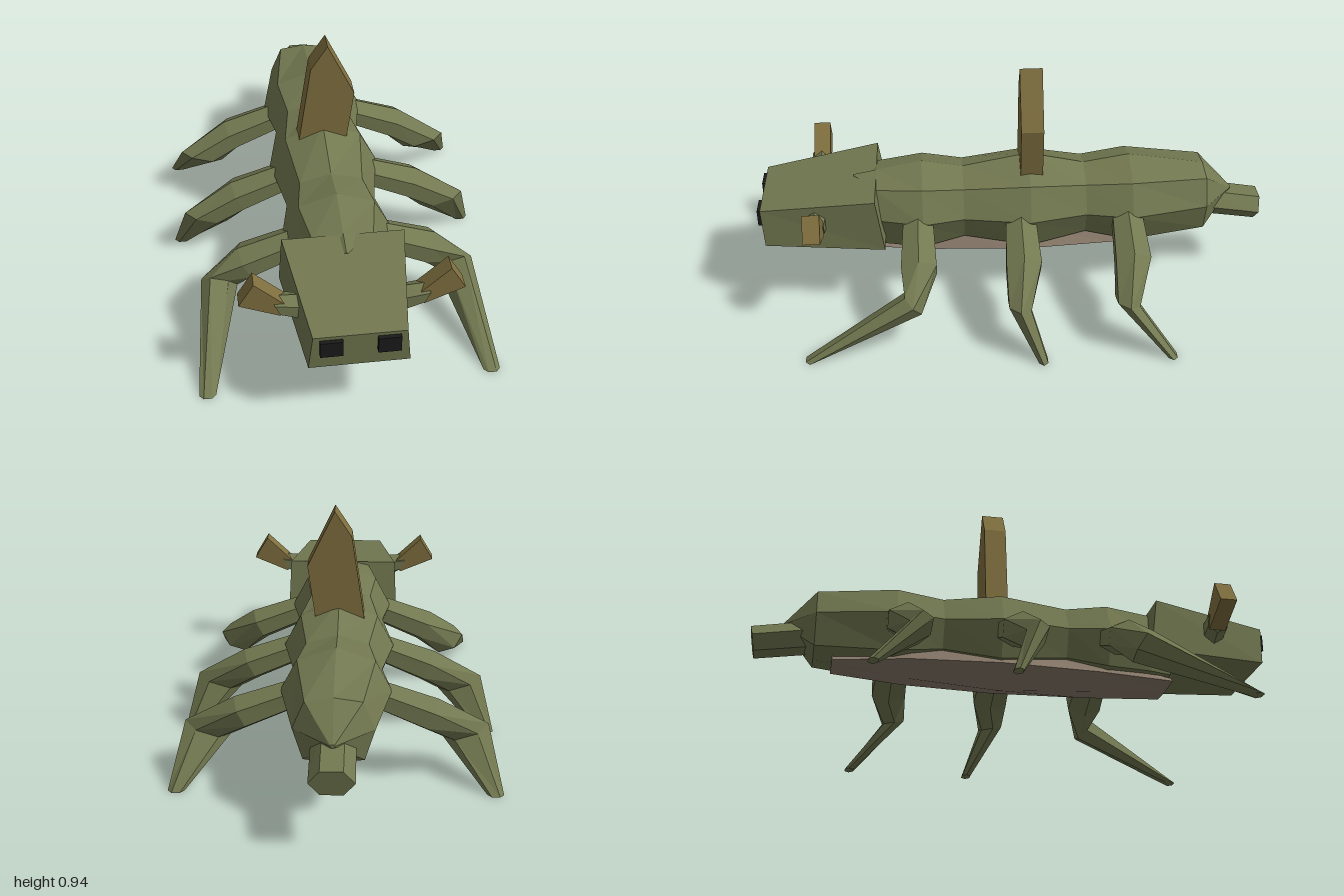
import * as THREE from 'three';

const mat = (color) => new THREE.MeshStandardMaterial({ color, flatShading: true });
const green = mat(0x727850), brown = mat(0x80703f), tan = mat(0x8a7b6b), black = mat(0x1a1a1a);

// Skin a list of equal-length rings, each counter-clockwise seen from the far end, with capped ends.
function loft(rings, mirror = 1) {
  const n = rings[0].length, pos = [], idx = [];
  const tri = (a, b, c) => idx.push(...(mirror > 0 ? [a, b, c] : [a, c, b]));
  rings.forEach((r) => r.forEach(([x, y, z]) => pos.push(x * mirror, y, z)));
  for (let i = 0; i < rings.length - 1; i++) {
    for (let j = 0; j < n; j++) {
      const a = i * n + j, b = i * n + (j + 1) % n;
      tri(a, b, b + n);
      tri(a, b + n, a + n);
    }
  }
  const last = (rings.length - 1) * n;
  for (let j = 1; j < n - 1; j++) {
    tri(0, j + 1, j);
    tri(last, last + j, last + j + 1);
  }
  const g = new THREE.BufferGeometry();
  g.setAttribute('position', new THREE.Float32BufferAttribute(pos, 3));
  g.setIndex(idx);
  const flat = g.toNonIndexed();
  flat.computeVertexNormals();
  return flat;
}

// Elliptical ring round centre c with half-axes u and v (u x v points along the loft).
function oval(c, u, v, sides = 6) {
  return Array.from({ length: sides }, (_, i) => {
    const a = (i / sides) * Math.PI * 2;
    return c.map((k, d) => k + u[d] * Math.cos(a) + v[d] * Math.sin(a));
  });
}

// Extruded front outline between two depths.
function slab(points, z0, z1) {
  const shape = new THREE.Shape(points.map(([x, y]) => new THREE.Vector2(x, y)));
  return new THREE.ExtrudeGeometry(shape, { depth: z1 - z0, bevelEnabled: false }).translate(0, 0, z0);
}

export function createModel() {
  const model = new THREE.Group();
  const add = (name, geometry, material) => {
    const mesh = new THREE.Mesh(geometry, material);
    mesh.name = name;
    model.add(mesh);
    return mesh;
  };

  // Three swelling body segments: z, half width, ridge, shoulder, lower edge, bottom
  const body = [
    [-0.88, 0.01, 0.375, 0.373, 0.365, 0.36],
    [-0.76, 0.145, 0.49, 0.475, 0.25, 0.235],
    [-0.46, 0.205, 0.54, 0.49, 0.235, 0.2],
    [-0.28, 0.17, 0.51, 0.475, 0.265, 0.24],
    [-0.06, 0.215, 0.56, 0.495, 0.23, 0.19],
    [0.2, 0.173, 0.51, 0.475, 0.265, 0.24],
    [0.36, 0.205, 0.54, 0.49, 0.235, 0.2],
    [0.54, 0.16, 0.505, 0.48, 0.24, 0.22],
    [0.63, 0.1, 0.488, 0.44, 0.25, 0.235],
  ];
  add('body', loft(body.map(([z, w, top, up, low, bottom]) => [
    [w, 0.37, z], [w * 0.7, up, z], [0, top, z], [-w * 0.7, up, z],
    [-w, 0.37, z], [-w * 0.75, low, z], [0, bottom, z], [w * 0.75, low, z],
  ])), green);

  // Keeled belly plate: z, half width, keel height
  const belly = [[-0.69, 0.07, 0.21], [-0.4, 0.135, 0.187], [-0.05, 0.16, 0.163], [0.33, 0.14, 0.187], [0.63, 0.1, 0.208]];
  add('belly', loft(belly.map(([z, w, y]) => {
    const side = 0.213, top = Math.abs(z) > 0.6 ? 0.235 : 0.28;
    return [[w, side, z], [w * 0.75, top, z], [-w * 0.75, top, z], [-w, side, z], [0, y, z]];
  })), tan);

  // Wedge head, wider and taller at the back
  add('head', loft([
    [[0.235, 0.285, 0.51], [0.225, 0.495, 0.54], [-0.225, 0.495, 0.54], [-0.235, 0.285, 0.51]],
    [[0.178, 0.285, 0.975], [0.163, 0.435, 0.985], [-0.163, 0.435, 0.985], [-0.178, 0.285, 0.975]],
  ]), green);

  // Back fin
  add('backFin', slab([[-0.1, 0.5], [0.09, 0.5], [0.12, 0.72], [0.015, 0.94], [-0.05, 0.84]], -0.112, -0.025), brown);

  // Drooping tail stub, travelling backwards
  add('tail', loft([
    oval([0, 0.33, -0.75], [-0.08, 0, 0], [0, 0.063, 0.01]),
    oval([0, 0.29, -0.99], [-0.08, 0, 0], [0, 0.057, -0.01]),
  ]), green);

  // Leg layout: root z, knee centre, knee axes, foot centre
  const legs = {
    frontLeg: [0.38, [0.455, 0.19, 0.405], [0.068, 0.022, 0], [0, 0.045, 0.035], [0.53, 0, 0.8]],
    middleLeg: [-0.02, [0.485, 0.182, 0.005], [0.085, 0.028, 0], [0, 0.01, 0.048], [0.592, 0, -0.078]],
    rearLeg: [-0.44, [0.485, 0.182, -0.405], [0.085, 0.028, 0], [0, 0.01, 0.048], [0.592, 0, -0.57]],
  };

  for (const [side, s] of [['left', 1], ['right', -1]]) {
    for (const [name, [z, knee, u, v, foot]] of Object.entries(legs)) {
      add(`${side} ${name}`, loft([
        oval([0.13, 0.355, z], [0.01, 0.055, 0], [0, 0, 0.065]),
        oval([0.35, 0.268, z], [0.03, 0.06, 0], [0, 0, 0.078]),
        oval(knee, u, v),
        oval(foot, [0.031, 0, 0], [0, 0, 0.02]),
      ], s), green);
    }

    // Ear stub with a flared blade
    add(`${side} earStub`, loft([
      oval([0.185, 0.39, 0.773], [-0.015, 0.05, 0], [0, 0, 0.045]),
      oval([0.265, 0.408, 0.773], [0.018, 0.04, 0], [0, 0, 0.045]),
    ].map((ring) => ring), s), green);
    const blade = [[0.235, 0.425], [0.255, 0.375], [0.4, 0.437], [0.345, 0.53]].map(([x, y]) => [x * s, y]);
    add(`${side} earBlade`, slab(blade, 0.738, 0.803), brown);

    // Square eye set on the face
    const eye = add(`${side} eye`, new THREE.BoxGeometry(0.08, 0.065, 0.04), black);
    eye.position.set(0.1 * s, 0.388, 0.98);
  }

  return model;
}
